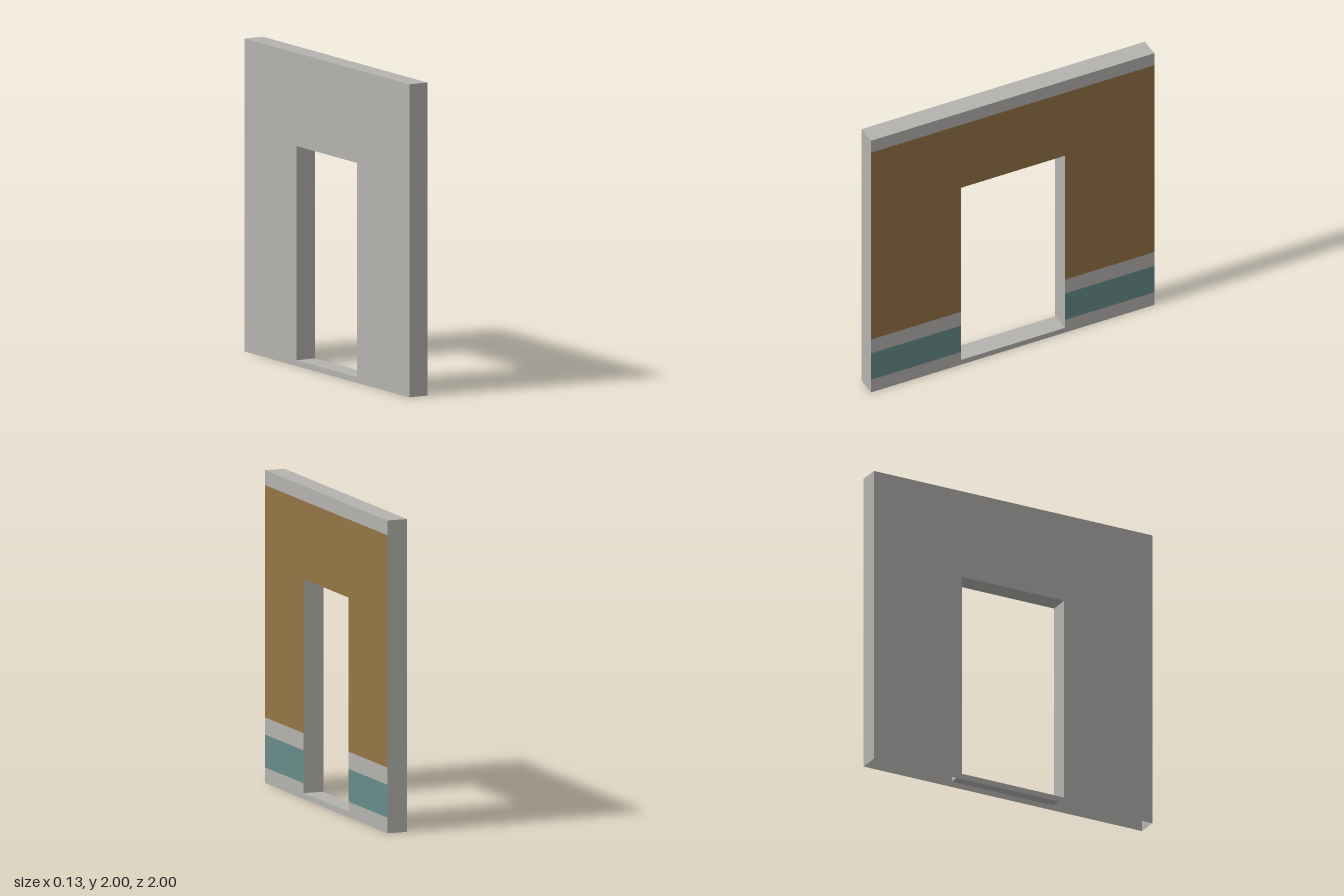
import * as THREE from 'three';

const HALF_T = 0.067;                       // half the wall thickness
const DOOR = { z: 0.367, y0: 0.037, y1: 1.405 };

export function createModel() {
  const mat = (name, color) =>
    new THREE.MeshStandardMaterial({ name, color, side: THREE.DoubleSide });
  const plaster = mat('grey plaster', 0xb4b3af);
  const ochre = mat('ochre paint', 0x957545);
  const teal = mat('teal paint', 0x668c89);

  const wall = new THREE.Group();
  wall.name = 'doorwayWall';

  // Flat panel, turned by rx / ry and placed
  function panel(parent, name, material, w, h, pos, rx = 0, ry = 0) {
    const mesh = new THREE.Mesh(new THREE.PlaneGeometry(w, h), material);
    mesh.name = name;
    mesh.rotation.set(rx, ry, 0);
    mesh.position.set(...pos);
    parent.add(mesh);
  }

  // Painted side: horizontal bands, split around the doorway
  const paintedSide = new THREE.Group();
  paintedSide.name = 'paintedSide';
  wall.add(paintedSide);
  const band = (name, material, y0, y1, z0 = -1, z1 = 1) =>
    panel(paintedSide, name, material, z1 - z0, y1 - y0,
      [HALF_T, (y0 + y1) / 2, (z0 + z1) / 2], 0, Math.PI / 2);

  band('threshold', plaster, 0, DOOR.y0);
  for (const [z0, z1] of [[-1, -DOOR.z], [DOOR.z, 1]]) {
    band('baseBand', plaster, DOOR.y0, 0.1, z0, z1);
    band('tealStripe', teal, 0.1, 0.31, z0, z1);
    band('dadoBand', plaster, 0.31, 0.42, z0, z1);
    band('ochreField', ochre, 0.42, DOOR.y1, z0, z1);
  }
  band('ochreLintel', ochre, DOOR.y1, 1.905);
  band('topBand', plaster, 1.905, 2);

  // Plain side with the doorway cut out
  const rect = (path, z, y0, y1) =>
    path.moveTo(-z, y0).lineTo(z, y0).lineTo(z, y1).lineTo(-z, y1).closePath();
  const outline = rect(new THREE.Shape(), 1, 0, 2);
  outline.holes.push(rect(new THREE.Path(), DOOR.z, DOOR.y0, DOOR.y1));
  const plainSide = new THREE.Mesh(new THREE.ShapeGeometry(outline), plaster);
  plainSide.name = 'plainSide';
  plainSide.rotation.y = -Math.PI / 2;
  plainSide.position.x = -HALF_T;
  wall.add(plainSide);

  // Top and ends; the underside is open
  const t = HALF_T * 2;
  panel(wall, 'top', plaster, t, 2, [0, 2, 0], -Math.PI / 2);
  panel(wall, 'frontEnd', plaster, t, 2, [0, 1, 1]);
  panel(wall, 'backEnd', plaster, t, 2, [0, 1, -1], 0, Math.PI);

  // Doorway lining, facing into the opening
  const doorH = DOOR.y1 - DOOR.y0, midY = (DOOR.y0 + DOOR.y1) / 2;
  panel(wall, 'frontJamb', plaster, t, doorH, [0, midY, DOOR.z], 0, Math.PI);
  panel(wall, 'backJamb', plaster, t, doorH, [0, midY, -DOOR.z]);
  panel(wall, 'doorHead', plaster, t, DOOR.z * 2, [0, DOOR.y1, 0], Math.PI / 2);
  panel(wall, 'sill', plaster, t, DOOR.z * 2, [0, DOOR.y0, 0], -Math.PI / 2);

  return wall;
}
